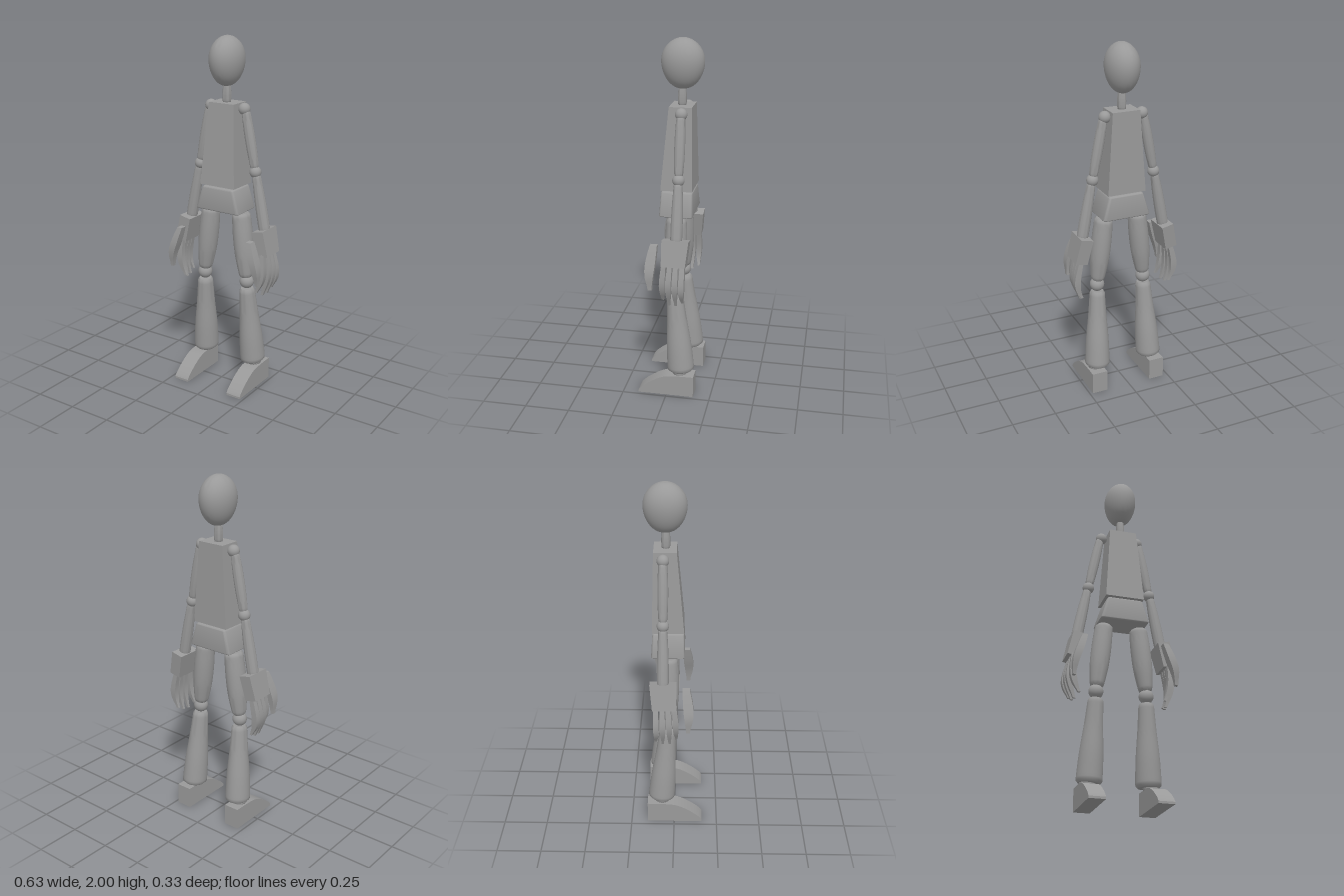
import * as THREE from 'three';
import { toCreasedNormals } from 'three/addons/utils/BufferGeometryUtils.js';
import { RoundedBoxGeometry } from 'three/addons/geometries/RoundedBoxGeometry.js';

const V = (x, y, z) => new THREE.Vector3(x, y, z);

export function createModel() {
  const model = new THREE.Group();
  model.name = 'mannequin';
  const grey = new THREE.MeshStandardMaterial({ color: 0x999999 });
  grey.name = 'mid grey';

  function add(parent, name, geometry) {
    const mesh = new THREE.Mesh(geometry, grey);
    mesh.name = name;
    parent.add(mesh);
    return mesh;
  }

  // Moves each vertex of a geometry by a rule
  function reshape(geometry, rule, crease) {
    const p = geometry.attributes.position;
    const v = V(0, 0, 0);
    for (let i = 0; i < p.count; i++) {
      rule(v.fromBufferAttribute(p, i));
      p.setXYZ(i, v.x, v.y, v.z);
    }
    geometry.computeVertexNormals();
    return toCreasedNormals(geometry, crease);
  }

  // Tapered block; each end is [half width, front z, back z, y]
  function block(bottom, top, radius = 0) {
    const g = radius ? new RoundedBoxGeometry(1, 1, 1, 3, radius) : new THREE.BoxGeometry(1, 1, 1);
    return reshape(g, (v) => {
      const [w, f, b, y] = bottom.map((n, i) => n + (top[i] - n) * (v.y + 0.5));
      v.set(v.x * 2 * w, y, (f + b) / 2 + v.z * (f - b));
    }, 0.5);
  }

  // Round limb from a to b, with radii spaced evenly along it and softened ends
  function limb(parent, name, a, b, radii, depth = 1) {
    const length = a.distanceTo(b);
    const curve = new THREE.SplineCurve(radii.map((r, i) => new THREE.Vector2(r, (i / (radii.length - 1)) * length)));
    const profile = [new THREE.Vector2(0, 0)];
    for (let i = 0; i <= 24; i++) {
      const p = curve.getPoint(i / 24);
      const e = Math.min(p.y, length - p.y);
      const soft = 0.02;
      if (e < soft) p.x *= 0.82 + 0.18 * Math.sqrt(Math.max(0, 1 - (1 - e / soft) ** 2));
      profile.push(p);
    }
    profile.push(new THREE.Vector2(0, length));
    const geometry = toCreasedNormals(new THREE.LatheGeometry(profile, 32), 0.8);
    geometry.scale(1, 1, depth);
    const mesh = add(parent, name, geometry);
    mesh.position.copy(a);
    mesh.quaternion.setFromUnitVectors(V(0, 1, 0), b.clone().sub(a).normalize());
    return mesh;
  }

  function ball(parent, name, center, r) {
    add(parent, name, new THREE.SphereGeometry(r, 32, 20)).position.copy(center);
  }

  // Bent tapering digit following a curve downwards
  function digit(parent, name, points, w, d) {
    const curve = new THREE.CatmullRomCurve3(points);
    const geometry = reshape(new RoundedBoxGeometry(1, 1, 1, 2, 0.12).scale(1, 1, 1) && new THREE.BoxGeometry(1, 1, 1, 1, 10, 1), (v) => {
      const t = 0.5 - v.y;
      const c = curve.getPoint(t);
      const taper = 0.8 + 0.35 * Math.sin(Math.PI * Math.min(1, t * 1.1)) - 0.35 * t * t;
      v.set(c.x + v.x * w * taper, c.y, c.z + v.z * d * taper);
    }, 0.7);
    add(parent, name, geometry);
  }

  // Egg-shaped head, narrower at the chin
  const head = reshape(new THREE.SphereGeometry(1, 48, 32), (v) => {
    const k = 1 + 0.07 * v.y * (1 - v.y * v.y);
    v.set(v.x * 0.091 * k, v.y * 0.135, v.z * 0.116 * k);
  }, 1.2);
  add(model, 'head', head).position.set(0.001, 1.865, -0.05);
  limb(model, 'neck', V(0.002, 1.64, -0.047), V(0.002, 1.75, -0.047), [0.023, 0.024, 0.019]);

  // Trunk
  add(model, 'torso', block([0.111, 0.053, -0.122, 1.19], [0.079, 0.012, -0.112, 1.645])).position.x = 0.003;
  add(model, 'pelvis', block([0.141, 0.058, -0.128, 1.045], [0.1, 0.052, -0.12, 1.182], 0.07)).position.x = 0.004;

  // Foot outline: x is forward, y is up
  const footShape = new THREE.Shape();
  footShape.moveTo(-0.155, 0);
  footShape.lineTo(0.163, 0);
  footShape.lineTo(0.163, 0.012);
  footShape.quadraticCurveTo(0.155, 0.028, 0.12, 0.055);
  footShape.quadraticCurveTo(0.05, 0.108, 0, 0.118);
  footShape.quadraticCurveTo(-0.04, 0.125, -0.155, 0.125);

  for (const s of [1, -1]) {
    const side = s > 0 ? 'left' : 'right';

    // Arm
    const arm = new THREE.Group();
    arm.name = side + 'Arm';
    arm.position.x = -0.002;
    model.add(arm);
    const z = -0.06;
    ball(arm, 'shoulder', V(s * 0.108, 1.614, z), 0.033);
    limb(arm, 'upperArm', V(s * 0.178, 1.295, z), V(s * 0.117, 1.605, z), [0.023, 0.028, 0.028, 0.023]);
    ball(arm, 'elbow', V(s * 0.182, 1.275, z), 0.033);
    limb(arm, 'forearm', V(s * 0.247, 0.945, z), V(s * 0.188, 1.26, z), [0.032, 0.032, 0.029, 0.023]);
    const palm = add(arm, 'palm', block([0.035, 0.012, -0.118, -0.0725], [0.035, 0.014, -0.132, 0.0725]));
    palm.position.set(s * 0.259, 0.888, 0);
    palm.rotation.z = s * 0.22;

    // Four fingers fanned along the palm, plus a thumb in front
    for (let i = 0; i < 4; i++) {
      const fz = 0.002 - i * 0.034;
      const out = i === 0 ? -0.012 : i * 0.005;
      digit(arm, 'finger', [
        V(s * 0.273, 0.83, fz),
        V(s * (0.286 + out * 0.7), 0.72, fz + 0.008 - i * 0.002),
        V(s * (0.278 + out), 0.66, fz + 0.009 - i * 0.002),
        V(s * (0.254 + out), [0.605, 0.582, 0.585, 0.605][i], fz + 0.012 - i * 0.004),
      ], 0.032, 0.029);
    }
    digit(arm, 'thumb', [
      V(s * 0.23, 0.917, 0.066), V(s * 0.258, 0.83, 0.077), V(s * 0.28, 0.755, 0.081), V(s * 0.286, 0.675, 0.077),
    ], 0.038, 0.05);

    // Leg
    const leg = new THREE.Group();
    leg.name = side + 'Leg';
    leg.position.x = 0.005;
    model.add(leg);
    limb(leg, 'thigh', V(s * 0.14, 0.665, -0.033), V(s * 0.1, 1.035, -0.037), [0.037, 0.052, 0.055, 0.05], 1.1);
    ball(leg, 'knee', V(s * 0.143, 0.637, -0.034), 0.041);
    limb(leg, 'shin', V(s * 0.164, 0.137, -0.075), V(s * 0.143, 0.597, -0.036), [0.071, 0.065, 0.052, 0.042], 1.08);
    limb(leg, 'ankle', V(s * 0.178, 0.115, -0.07), V(s * 0.17, 0.16, -0.07), [0.042, 0.042]);
    const foot = new THREE.ExtrudeGeometry(footShape, { depth: 0.09, bevelEnabled: false, curveSegments: 8 });
    foot.translate(0, 0, -0.045).rotateY(-Math.PI / 2);
    add(leg, 'foot', toCreasedNormals(foot, 0.5)).position.x = s * 0.181;
  }
  return model;
}
